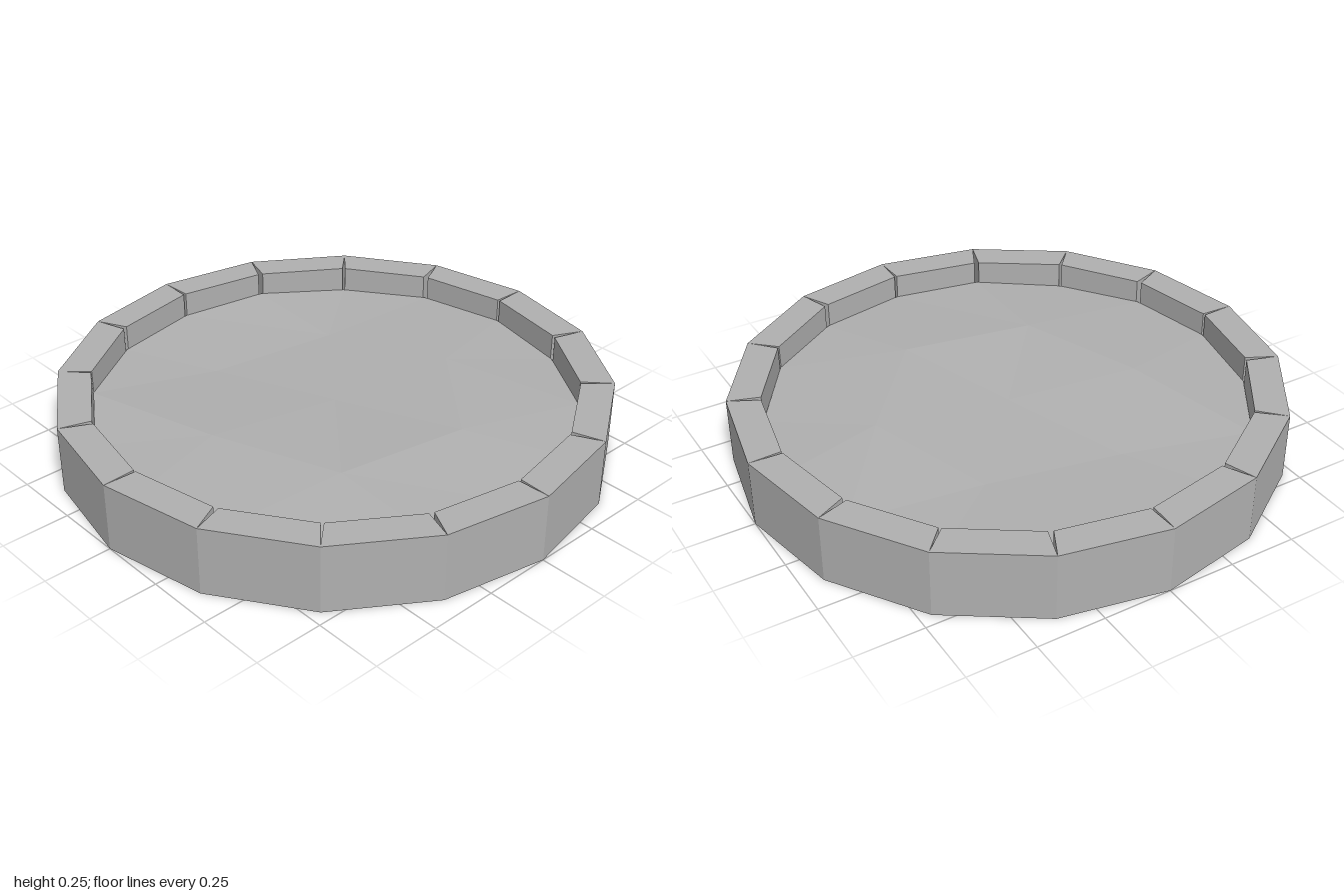
import * as THREE from 'three';

const SIDES = 16, HEIGHT = 0.253, INNER = 0.878, FLOOR = 0.16;
const STEP = (Math.PI * 2) / SIDES;

// Point on a circle; side moves it along the tangent
function polar(angle, radius, y = 0, side = 0) {
  const c = Math.cos(angle), s = Math.sin(angle);
  return [c * radius - s * side, y, s * radius + c * side];
}

// One rim block, with wedge-shaped joints that open towards the inside
function rimBlock(i) {
  const a = i * STEP, b = a + STEP;
  const gap = (k) => (k % 2 ? 0.009 : 0.005);
  const corners = [
    polar(a, 1), polar(b, 1),
    polar(b, INNER, 0, -gap(i + 1)), polar(a, INNER, 0, gap(i)),
  ];
  const shape = new THREE.Shape(corners.map(([x, , z]) => new THREE.Vector2(x, -z)));
  const geometry = new THREE.ExtrudeGeometry(shape, { depth: HEIGHT, bevelEnabled: false });
  return geometry.rotateX(-Math.PI / 2);
}

// Uneven faceted floor: a centre, a ring of six bumps and the outer edge
function floorSlab() {
  const centre = [0, FLOOR, 0];
  const bumpHeights = [0.015, 0.02, 0.02, 0.02, -0.015, -0.01];
  const bumpAngle = (j) => THREE.MathUtils.degToRad(-80 + j * 60);
  const bumps = bumpHeights.map((h, j) => polar(bumpAngle(j), 0.5, FLOOR + h));
  const edge = [], base = [];
  for (let i = 0; i < SIDES; i++) {
    edge.push(polar(i * STEP, INNER, FLOOR + 0.005 * Math.sin(i * 2.3)));
    base.push(polar(i * STEP, INNER, 0));
  }
  const nearest = (i) => {
    let best = 0;
    const mid = (i + 0.5) * STEP;
    for (let j = 1; j < 6; j++) {
      if (Math.cos(mid - bumpAngle(j)) > Math.cos(mid - bumpAngle(best))) best = j;
    }
    return best;
  };
  const positions = [];
  const tri = (...points) => points.forEach((p) => positions.push(...p));

  for (let j = 0; j < 6; j++) tri(centre, bumps[(j + 1) % 6], bumps[j]);
  for (let i = 0; i < SIDES; i++) {
    const n = (i + 1) % SIDES;
    const here = nearest(i), before = nearest((i + SIDES - 1) % SIDES);
    tri(bumps[here], edge[n], edge[i]);
    if (here !== before) tri(edge[i], bumps[before], bumps[here]);
    // side wall and underside
    tri(base[i], edge[i], edge[n]);
    tri(base[i], edge[n], base[n]);
    tri([0, 0, 0], base[i], base[n]);
  }
  const geometry = new THREE.BufferGeometry();
  geometry.setAttribute('position', new THREE.Float32BufferAttribute(positions, 3));
  geometry.computeVertexNormals();
  return geometry;
}

export function createModel() {
  const model = new THREE.Group();
  model.name = 'roundStoneBasin';
  const stone = new THREE.MeshStandardMaterial({ color: 0xb0b0b0 });
  stone.name = 'grey stone';

  const rim = new THREE.Group();
  rim.name = 'rim';
  for (let i = 0; i < SIDES; i++) {
    const block = new THREE.Mesh(rimBlock(i), stone);
    block.name = 'rimBlock';
    rim.add(block);
  }

  const floor = new THREE.Mesh(floorSlab(), stone);
  floor.name = 'floor';
  model.add(rim, floor);
  return model;
}
